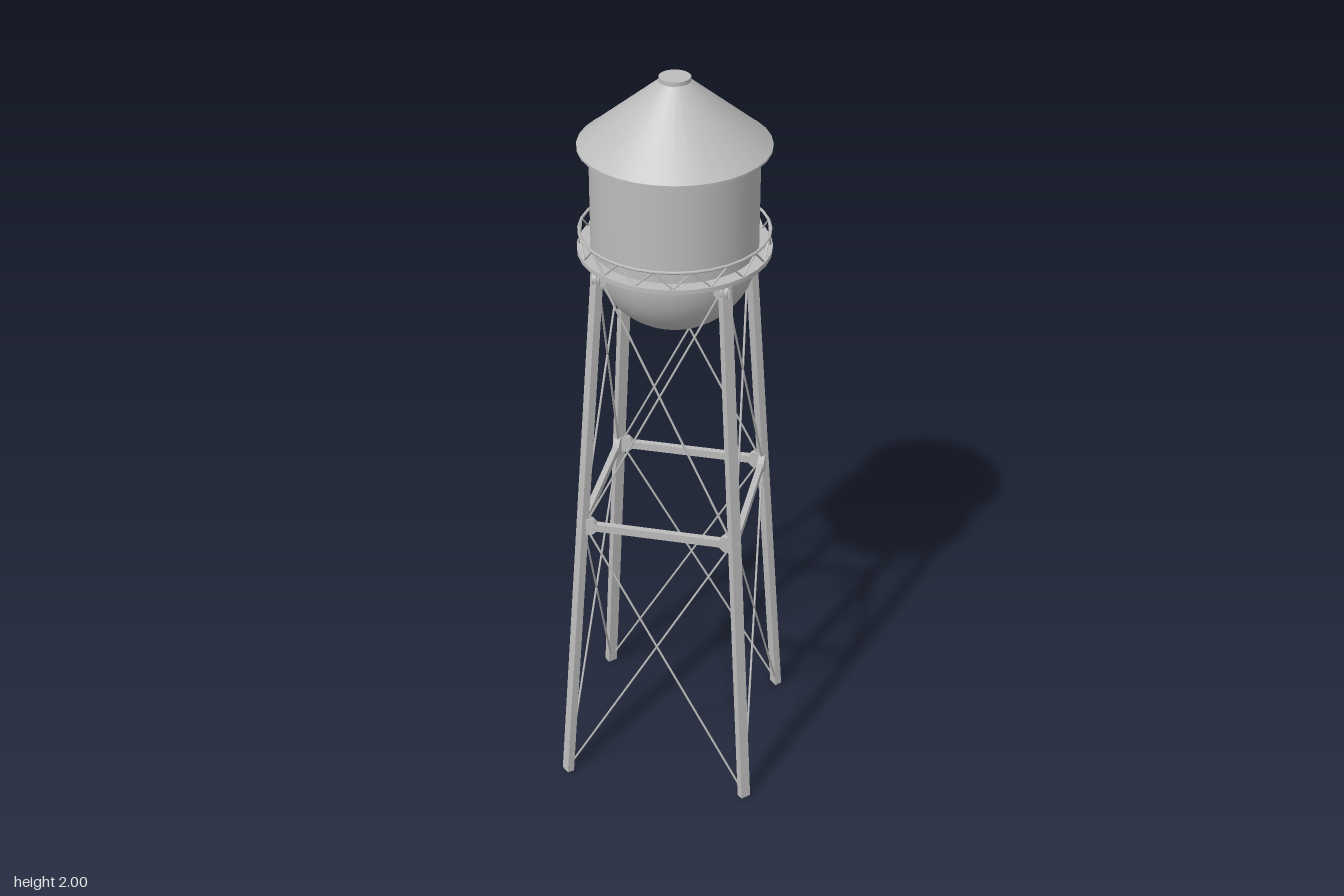
import * as THREE from 'three';

const steel = new THREE.MeshStandardMaterial({ color: 0xbcbcbc });
steel.name = 'greySteel';

const V = (x, y, z) => new THREE.Vector3(x, y, z);

function add(parent, name, geometry) {
  const mesh = new THREE.Mesh(geometry, steel);
  mesh.name = name;
  parent.add(mesh);
  return mesh;
}

// Straight bar from a to b: its depth faces along `out`, its width lies across
function bar(parent, name, a, b, width, depth, out) {
  const dir = b.clone().sub(a);
  const length = dir.length();
  dir.normalize();
  const side = new THREE.Vector3().crossVectors(dir, out).normalize();
  const face = new THREE.Vector3().crossVectors(side, dir);
  const mesh = add(parent, name, new THREE.BoxGeometry(width, length, depth));
  mesh.quaternion.setFromRotationMatrix(new THREE.Matrix4().makeBasis(side, dir, face));
  mesh.position.copy(a).add(b).multiplyScalar(0.5);
}

// Thin round rod from a to b
function rod(parent, name, a, b, radius) {
  const dir = b.clone().sub(a);
  const mesh = add(parent, name, new THREE.CylinderGeometry(radius, radius, dir.length(), 6));
  mesh.quaternion.setFromUnitVectors(V(0, 1, 0), dir.normalize());
  mesh.position.copy(a).add(b).multiplyScalar(0.5);
}

// Distance of a leg centre from x = 0 and z = 0 at height y
const LEG_TOP = 1.548;
const legAt = (y) => THREE.MathUtils.lerp(0.25, 0.158, y / LEG_TOP);

function makeTank() {
  const tank = new THREE.Group();
  tank.name = 'tank';

  // Round bottom running smoothly into the straight wall
  const profile = [];
  for (let i = 0; i <= 14; i++) {
    const a = (i / 14) * Math.PI / 2;
    profile.push(new THREE.Vector2(0.209 * Math.sin(a), 1.55 - 0.21 * Math.cos(a)));
  }
  profile.push(new THREE.Vector2(0.209, 1.825));
  add(tank, 'tankShell', new THREE.LatheGeometry(profile, 40));

  // Conical roof with a closed underside and a thin eave
  add(tank, 'roof', new THREE.CylinderGeometry(0.038, 0.238, 0.163, 32)).position.y = 1.9085;
  add(tank, 'eave', new THREE.CylinderGeometry(0.238, 0.238, 0.006, 32)).position.y = 1.825;
  add(tank, 'roofCap', new THREE.CylinderGeometry(0.039, 0.039, 0.018, 24)).position.y = 1.991;
  return tank;
}

function makeBalcony() {
  const balcony = new THREE.Group();
  balcony.name = 'balcony';

  // Ring walkway
  const section = [[0.2, 1.544], [0.243, 1.544], [0.243, 1.556], [0.2, 1.556], [0.2, 1.544]];
  for (let i = 0; i < 4; i++) {
    const edge = [section[i], section[i + 1]].map((p) => new THREE.Vector2(...p));
    add(balcony, 'walkway', new THREE.LatheGeometry(edge, 32));
  }

  // Handrail hoop and zigzag bracing
  const rail = add(balcony, 'handrail', new THREE.TorusGeometry(0.237, 0.004, 6, 32));
  rail.rotation.x = Math.PI / 2;
  rail.position.y = 1.6;
  const count = 32;
  const point = (i) => {
    const a = (i / count) * Math.PI * 2;
    return V(0.237 * Math.sin(a), i % 2 ? 1.555 : 1.6, 0.237 * Math.cos(a));
  };
  for (let i = 0; i < count; i++) rod(balcony, 'railBrace', point(i), point(i + 1), 0.0025);
  return balcony;
}

// One side of the tower: leg, strut, gusset plates and crossed tie rods
function makeSide() {
  const side = new THREE.Group();
  const at = (s, y, inset = 0) => V(s * (legAt(y) - inset), y, legAt(y));
  const out = V(0, 0, 1);

  bar(side, 'leg', at(1, 0.001), at(1, LEG_TOP), 0.028, 0.02, V(1, 0, 1));
  bar(side, 'strut', at(-1, 0.811), at(1, 0.811), 0.022, 0.016, out);

  for (const s of [-1, 1]) {
    for (const [y, inset, radius] of [[0.811, 0.017, 0.025], [1.525, 0.006, 0.023]]) {
      const gusset = add(side, 'gusset', new THREE.CylinderGeometry(radius, radius, 0.018, 8));
      gusset.rotation.set(Math.PI / 2, Math.PI / 8, 0);
      gusset.position.copy(at(s, y, inset));
    }
    rod(side, 'lowerTieRod', at(s, 0.02, 0.006), at(-s, 0.8, 0.012), 0.003);
    rod(side, 'upperTieRod', at(s, 0.825, 0.012), at(-s, 1.53, 0.006), 0.003);
  }
  return side;
}

export function createModel() {
  const model = new THREE.Group();
  model.name = 'waterTower';
  model.add(makeTank(), makeBalcony());
  for (let i = 0; i < 4; i++) {
    const side = makeSide();
    side.name = 'towerSide' + (i + 1);
    side.rotation.y = i * Math.PI / 2;
    model.add(side);
  }
  return model;
}
